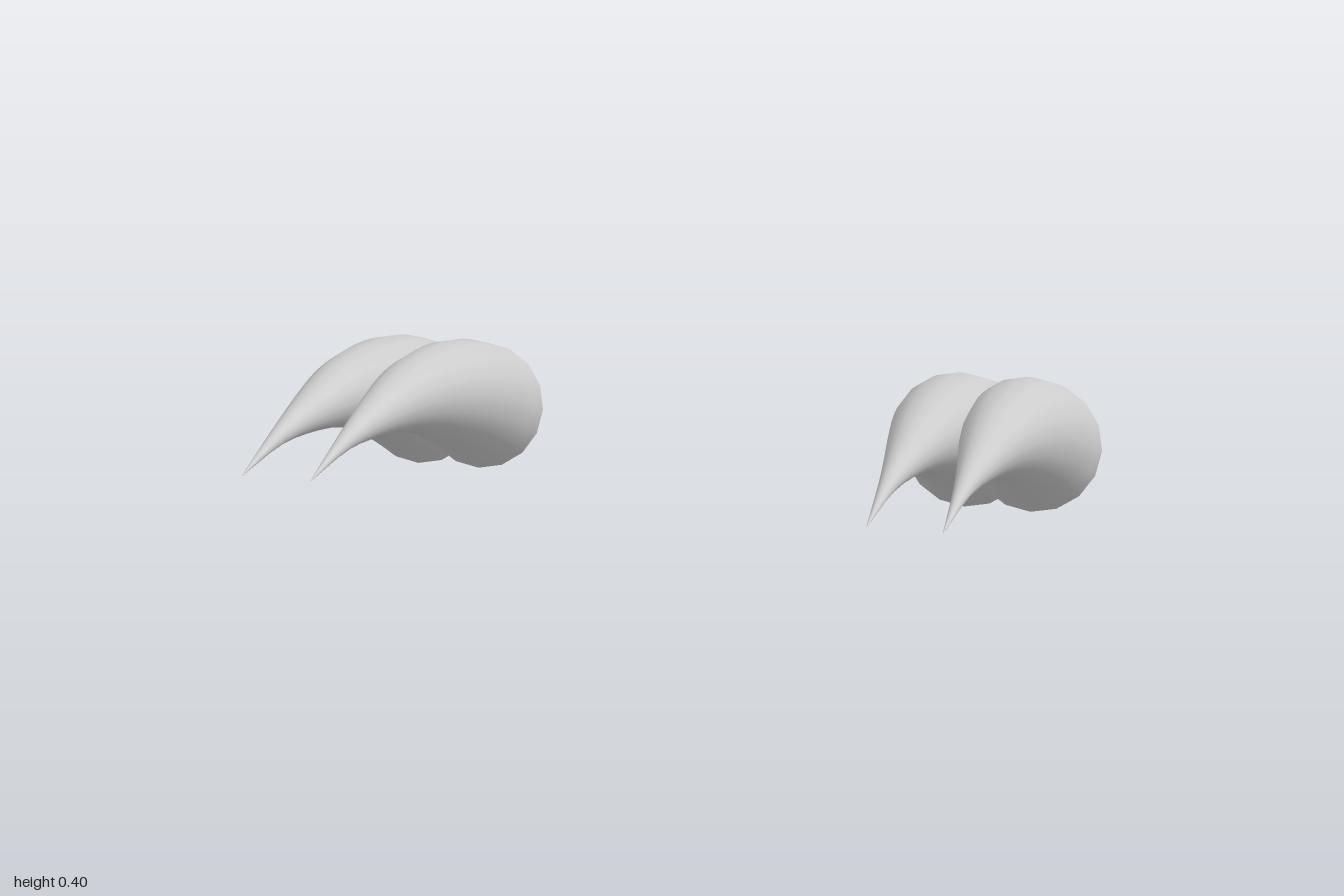
import * as THREE from 'three';

// Horn outline in the side plane, base to tip: [z, y] of the upper and lower edge
const UPPER = [[-0.61, 0.325], [-0.42, 0.378], [-0.22, 0.402], [0, 0.4], [0.2, 0.37], [0.4, 0.325], [0.604, 0.266]];
const LOWER = [[-0.53, 0], [-0.36, 0.088], [-0.17, 0.172], [0, 0.23], [0.19, 0.268], [0.39, 0.284], [0.604, 0.264]];
const SIDES = 16;
const RINGS = 18;

const edgeCurve = (points) =>
  new THREE.CatmullRomCurve3(points.map(([z, y]) => new THREE.Vector3(0, y, z)));

// Hollow curved horn: round rings spanning the upper and lower edge, open at the base
function hornGeometry() {
  const upper = edgeCurve(UPPER);
  const lower = edgeCurve(LOWER);
  const positions = [];
  const indices = [];
  for (let i = 0; i <= RINGS; i++) {
    const top = upper.getPoint(i / RINGS);
    const bottom = lower.getPoint(i / RINGS);
    const center = top.clone().add(bottom).multiplyScalar(0.5);
    const up = top.clone().sub(center);
    const radius = up.length() * 1.015;
    for (let j = 0; j < SIDES; j++) {
      const angle = (j / SIDES) * Math.PI * 2;
      const p = center.clone().addScaledVector(up, Math.sin(angle));
      positions.push(radius * Math.cos(angle), p.y, p.z);
      if (i === RINGS) continue;
      const a = i * SIDES + j;
      const b = i * SIDES + ((j + 1) % SIDES);
      indices.push(a, b, a + SIDES, b, b + SIDES, a + SIDES);
    }
  }
  const geometry = new THREE.BufferGeometry();
  geometry.setAttribute('position', new THREE.Float32BufferAttribute(positions, 3));
  geometry.setIndex(indices);
  geometry.computeVertexNormals();
  return geometry;
}

export function createModel() {
  const model = new THREE.Group();
  model.name = 'clawPairs';
  const grey = new THREE.MeshStandardMaterial({ color: 0xcccccc, side: THREE.DoubleSide });
  grey.name = 'lightGrey';
  const geometry = hornGeometry();

  // Two overlapping claws on each side
  for (const [side, sign] of [['left', 1], ['right', -1]]) {
    const pair = new THREE.Group();
    pair.name = `${side}ClawPair`;
    for (const [place, x] of [['Inner', 0.658], ['Outer', 0.829]]) {
      const claw = new THREE.Mesh(geometry, grey);
      claw.name = `${side}${place}Claw`;
      claw.position.x = sign * x;
      pair.add(claw);
    }
    model.add(pair);
  }
  return model;
}
